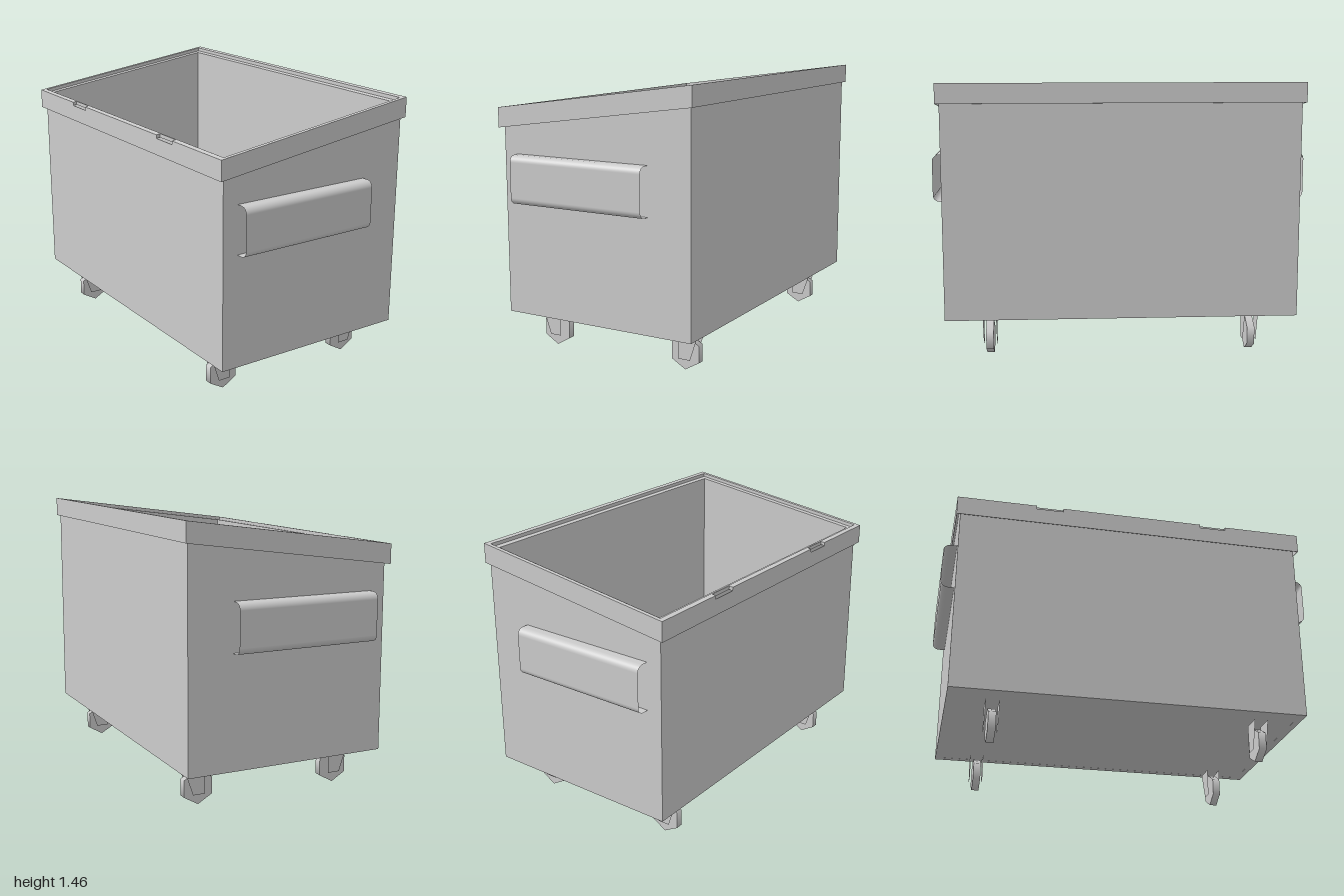
import * as THREE from 'three';

const grey = new THREE.MeshStandardMaterial({ color: 0xcccccc });
const sheet = new THREE.MeshStandardMaterial({ color: 0xcccccc, side: THREE.DoubleSide });

const SLOPE = 0.1366;
const sloped = (y) => (x) => y + SLOPE * x;

function add(parent, name, geometry, material = grey) {
  const mesh = new THREE.Mesh(geometry, material);
  mesh.name = name;
  parent.add(mesh);
  return mesh;
}

const rect = (x0, x1, z) => [[x0, z], [x1, z], [x1, -z], [x0, -z]];
const toPoints = (list) => list.map(([x, z]) => new THREE.Vector2(x, -z));

// Walled ring seen from above, whose lower and upper edges follow rules of x
function ring(outer, inner, low, high) {
  const shape = new THREE.Shape(toPoints(outer));
  shape.holes.push(new THREE.Path(toPoints(inner)));
  const geo = new THREE.ExtrudeGeometry(shape, { depth: 1, bevelEnabled: false });
  geo.rotateX(-Math.PI / 2);
  const p = geo.attributes.position;
  for (let i = 0; i < p.count; i++) {
    const x = p.getX(i);
    p.setY(i, THREE.MathUtils.lerp(low(x), high(x), p.getY(i)));
  }
  geo.computeVertexNormals();
  return geo;
}

// Open channel with rounded corners, bent from a plane
function pocketGeometry() {
  const r = 0.035, top = 1.067, bottom = 0.815, face = 1.0;
  const path = new THREE.Path();
  path.moveTo(0.93, top);
  path.lineTo(face - r, top);
  path.absarc(face - r, top - r, r, Math.PI / 2, 0, true);
  path.lineTo(face, bottom + r);
  path.absarc(face - r, bottom + r, r, 0, -Math.PI / 2, true);
  path.lineTo(0.93, bottom);
  const pts = path.getPoints(8);
  const geo = new THREE.PlaneGeometry(0.78, 1, 1, pts.length - 1);
  const p = geo.attributes.position;
  for (let i = 0; i < p.count; i++) {
    const q = pts[Math.floor(i / 2)];
    p.setY(i, q.y);
    p.setZ(i, q.x);
  }
  geo.computeVertexNormals();
  return geo;
}

// Six-sided wheel between two thin fork plates
function caster(side) {
  const group = new THREE.Group();
  group.name = 'caster';
  const wheel = new THREE.CylinderGeometry(0.09, 0.09, 0.04, 6);
  wheel.rotateX(Math.PI / 2);
  add(group, 'wheel', wheel).position.y = 0.092;
  const plate = new THREE.ShapeGeometry(new THREE.Shape(
    [[-0.035, 0.058], [0.033, 0.058], [0.033, 0.208], [-0.085, 0.208]]
      .map(([x, y]) => new THREE.Vector2(x * -side, y))));
  for (const z of [-0.035, 0.035]) add(group, 'forkPlate', plate, sheet).position.z = z;
  return group;
}

export function createModel() {
  const model = new THREE.Group();
  model.name = 'wheeledBin';

  // Hollow body with a sloping top
  const bodyOuter = rect(-0.548, 0.552, 0.93);
  add(model, 'bodyWalls', ring(bodyOuter, rect(-0.515, 0.515, 0.895), () => 0.222, sloped(1.362)));
  add(model, 'floor', new THREE.BoxGeometry(1.06, 0.03, 1.82)).position.y = 0.2375;

  // Thin skirt hanging clear of the body, and a lip notched along the low side
  const rimOuter = rect(-0.573, 0.568, 0.95);
  const notched = [...rimOuter];
  for (const z of [-0.455, 0.455]) {
    notched.push([-0.573, z - 0.073], [-0.552, z - 0.073], [-0.552, z + 0.073], [-0.573, z + 0.073]);
  }
  add(model, 'rimSkirt', ring(rimOuter, rect(-0.57, 0.565, 0.947), sloped(1.277), sloped(1.362)));
  add(model, 'rimLip', ring(notched, rect(-0.546, 0.542, 0.928), sloped(1.362), sloped(1.381)));

  // Lifting pockets on both ends
  const pocket = pocketGeometry();
  for (const turn of [0, Math.PI]) {
    const mesh = add(model, turn ? 'backPocket' : 'frontPocket', pocket, sheet);
    mesh.position.x = -0.0755;
    mesh.rotation.y = turn;
  }

  // Casters at the four corners
  for (const side of [-1, 1]) {
    for (const z of [-0.7, 0.702]) {
      const unit = caster(side);
      unit.position.set(side * 0.4, 0, z);
      model.add(unit);
    }
  }
  return model;
}
